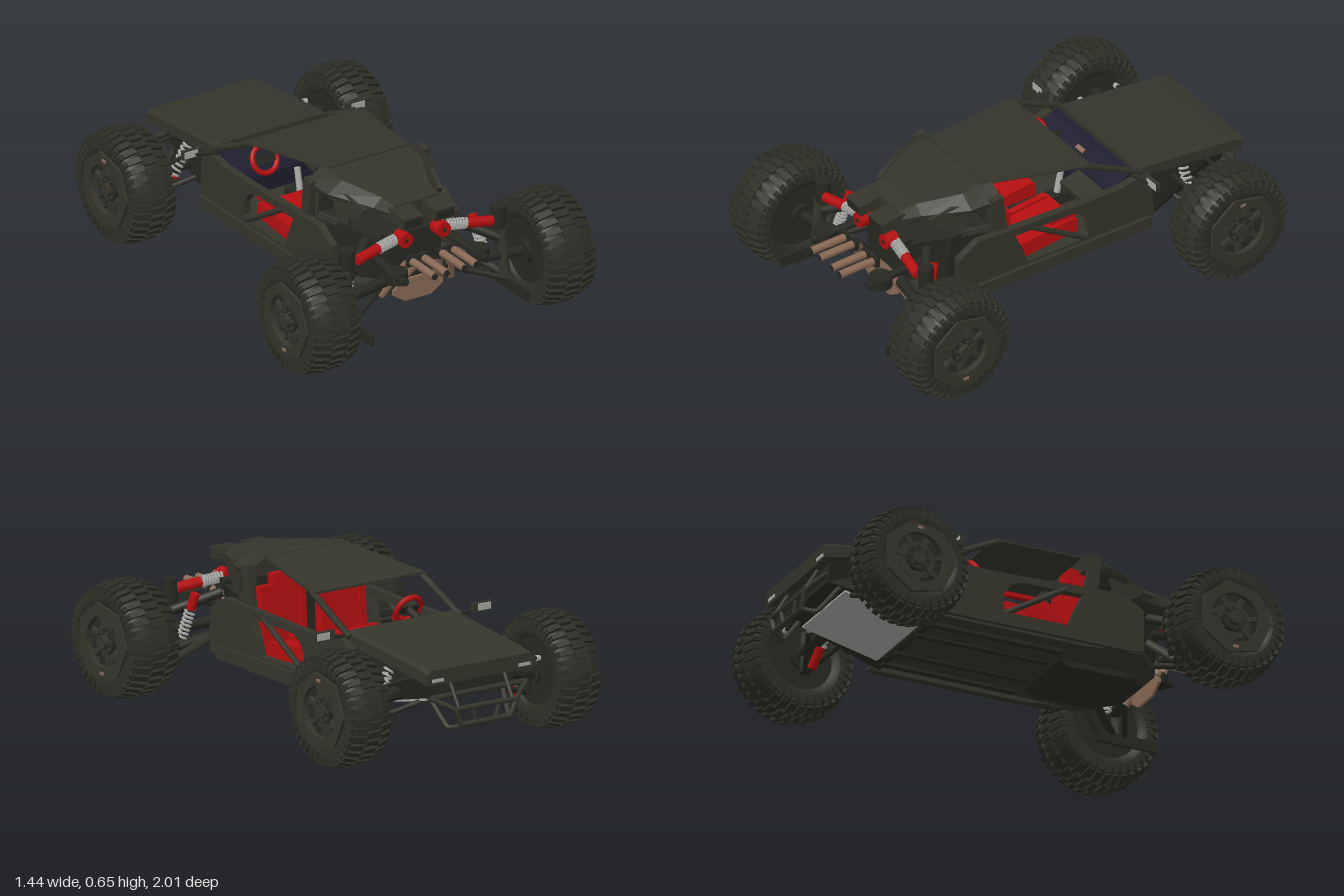
import * as THREE from 'three';
import { mergeGeometries } from 'three/addons/utils/BufferGeometryUtils.js';

const mat = (name, color, extra = {}) => {
  const m = new THREE.MeshStandardMaterial({ color, ...extra });
  m.name = name;
  return m;
};
const V = (p) => new THREE.Vector3(...p);

export function createModel() {
  const olive = mat('olive paint', 0x35352c, { side: THREE.DoubleSide });
  const rubber = mat('tyre rubber', 0x2d2e25);
  const black = mat('black metal', 0x282822);
  const red = mat('red', 0xb40f10);
  const copper = mat('copper', 0x8a6a55);
  const navy = mat('navy trim', 0x1d1d2e);
  const silver = mat('silver', 0xa9a9a6);

  const car = new THREE.Group();
  car.name = 'buggy';
  const add = (name, geo, m, parent = car) => {
    const mesh = new THREE.Mesh(geo, m);
    mesh.name = name;
    parent.add(mesh);
    return mesh;
  };
  const box = (name, m, [w, h, d], [x, y, z], rx = 0) => {
    const b = add(name, new THREE.BoxGeometry(w, h, d), m);
    b.position.set(x, y, z);
    b.rotation.x = rx;
    return b;
  };
  // straight rod between two points
  const bar = (name, m, a, b, r, sides = 10) => {
    const p = V(a), q = V(b), d = q.clone().sub(p);
    const rod = add(name, new THREE.CylinderGeometry(r, r, d.length(), sides), m);
    rod.position.copy(p).add(q).multiplyScalar(0.5);
    rod.quaternion.setFromUnitVectors(V([0, 1, 0]), d.normalize());
    return rod;
  };
  const tube = (name, m, pts, r) =>
    add(name, new THREE.TubeGeometry(new THREE.CatmullRomCurve3(pts.map(V), false, 'catmullrom', 0.2), 32, r, 8), m);
  const spring = (name, a, b, r, turns) => {
    const p = V(a), d = V(b).sub(p), q = new THREE.Quaternion().setFromUnitVectors(V([0, 1, 0]), d.clone().normalize());
    const pts = Array.from({ length: turns * 8 + 1 }, (_, i) => {
      const t = i * Math.PI / 4;
      return V([Math.cos(t) * r, d.length() * i / (turns * 8), Math.sin(t) * r]).applyQuaternion(q).add(p);
    });
    return add(name, new THREE.TubeGeometry(new THREE.CatmullRomCurve3(pts), turns * 12, 0.006, 5), silver);
  };
  // mirrored half sections [x, y] (top to bottom), joined in order of rising z
  const loft = (name, m, sections) => {
    const rings = sections.map(([z, half]) => [
      ...half.map(([x, y]) => [x, y, z]),
      ...half.slice().reverse().map(([x, y]) => [-x, y, z])]);
    const pos = [], n = rings[0].length, last = rings.length - 1;
    const tri = (...c) => c.forEach((p) => pos.push(...p));
    for (let k = 0; k < last; k++) {
      for (let i = 0; i < n; i++) {
        const j = (i + 1) % n, A = rings[k], B = rings[k + 1];
        tri(A[i], B[j], A[j]);
        tri(A[i], B[i], B[j]);
      }
    }
    for (let i = 1; i < n - 1; i++) {
      tri(rings[0][0], rings[0][i], rings[0][i + 1]);
      tri(rings[last][0], rings[last][i + 1], rings[last][i]);
    }
    const g = new THREE.BufferGeometry();
    g.setAttribute('position', new THREE.Float32BufferAttribute(pos, 3));
    g.computeVertexNormals();
    return add(name, g, m);
  };
  const shape = (pts) => new THREE.Shape(pts.map(([a, b]) => new THREE.Vector2(a, b)));
  // upright plate drawn in (z, y), centred on x
  const sidePlate = (name, m, outline, x, depth) =>
    add(name, new THREE.ExtrudeGeometry(outline, { depth, bevelEnabled: false }).rotateY(-Math.PI / 2).translate(x + depth / 2, 0, 0), m);

  // wheels, built with the outer face towards +x
  const makeWheel = (name, x, z, half, hubOut, valveAngle) => {
    const w = new THREE.Group();
    w.name = name;
    const profile = [[0.14, -0.75], [0.155, -0.95], [0.2, -1], [0.222, -0.85], [0.236, -0.4], [0.236, 0.4],
      [0.222, 0.85], [0.2, 1], [0.155, 0.95], [0.14, 0.75]].map(([r, t]) => new THREE.Vector2(r, t * half));
    add('tyre', new THREE.LatheGeometry(profile, 48).rotateZ(-Math.PI / 2), rubber, w);
    const lugs = [], rows = 36;
    for (let i = 0; i < rows; i++) {
      const a = i / rows * Math.PI * 2;
      for (const s of [-1, 0, 1]) {
        const g = new THREE.BoxGeometry(half * 0.6, 0.026, 0.024);
        if (s) g.rotateZ(-s * 0.28);
        g.translate(s * half * 0.62, s ? 0.23 : 0.239, 0);
        g.rotateX(a + (s ? 0 : Math.PI / rows));
        lugs.push(g);
        if (s) lugs.push(new THREE.BoxGeometry(0.014, 0.045, 0.022).translate(s * half * 0.96, 0.2, 0).rotateX(a));
      }
    }
    add('tread', mergeGeometries(lugs), rubber, w);
    // seven-sided rim ring with spokes and hub
    const ring = shape(Array.from({ length: 7 }, (_, i) => {
      const a = i / 7 * Math.PI * 2;
      return [Math.cos(a) * 0.17, Math.sin(a) * 0.17];
    }));
    ring.holes.push(new THREE.Path().absarc(0, 0, 0.112, 0, Math.PI * 2, true));
    const rimGeo = new THREE.ExtrudeGeometry(ring, { depth: 0.025, bevelEnabled: false }).rotateY(Math.PI / 2);
    add('rim', rimGeo.translate(half * 0.84, 0, 0), olive, w);
    const disc = (label, r, x0, x1, m, sides = 24) =>
      add(label, new THREE.CylinderGeometry(r, r, x1 - x0, sides).rotateZ(-Math.PI / 2).translate((x0 + x1) / 2, 0, 0), m, w);
    disc('rimDish', 0.145, -half * 0.8, half * 0.5, black);
    disc('hubPlate', 0.085, half * 0.4, half * 0.75, olive, 14);
    disc('hub', 0.055, -half * 0.95, half * 0.92, black);
    disc('hubCap', 0.03, half * 0.9, hubOut, olive);
    for (let i = 0; i < 7; i++) {
      const a = (i + 0.5) / 7 * Math.PI * 2;
      add('spoke', new THREE.BoxGeometry(0.025, 0.075, 0.02).translate(half * 0.72, 0.085, 0).rotateX(a), olive, w);
      add('bolt', new THREE.BoxGeometry(0.012, 0.012, 0.012).translate(half * 0.95, 0.042, 0).rotateX(a), olive, w);
    }
    add('valve', new THREE.BoxGeometry(0.012, 0.012, 0.025).translate(half * 0.84 + 0.024, 0.135, 0).rotateX(valveAngle), copper, w);
    w.position.set(x, 0.258, z);
    if (x < 0) w.rotation.y = Math.PI;
    car.add(w);
  };

  // tub, nose, hood, roof and engine cover
  loft('belly', olive, [[-0.46, [[0.3, 0.23], [0.3, 0.21], [0.17, 0.185]]],
    [0.52, [[0.31, 0.23], [0.31, 0.2], [0.18, 0.175]]], [0.64, [[0.17, 0.24], [0.17, 0.21], [0.12, 0.18]]]]);
  loft('bellyPlate', black, [[0.2, [[0.17, 0.185], [0.17, 0.175]]], [0.24, [[0.17, 0.185], [0.17, 0.15]]],
    [0.52, [[0.17, 0.185], [0.17, 0.15]]], [0.62, [[0.12, 0.2], [0.1, 0.165]]]]);
  loft('nose', black, [[-0.9, [[0.24, 0.4], [0.2, 0.29]]], [-0.42, [[0.28, 0.455], [0.28, 0.18]]]]);
  loft('hood', olive, [[-0.95, [[0.26, 0.425], [0.28, 0.41], [0.28, 0.36]]], [-0.88, [[0.26, 0.44], [0.28, 0.425], [0.28, 0.375]]],
    [-0.4, [[0.265, 0.49], [0.285, 0.475], [0.285, 0.43]]]]);
  loft('roof', olive, [[-0.17, [[0.29, 0.605], [0.29, 0.595]]], [0.32, [[0.2, 0.656], [0.2, 0.642]]]]);
  loft('engineCover', olive, [[0.28, [[0.2, 0.654], [0.29, 0.605], [0.28, 0.57]]], [0.42, [[0.2, 0.637], [0.27, 0.59], [0.26, 0.565]]],
    [0.6, [[0.12, 0.61], [0.16, 0.57], [0.15, 0.54]]], [0.68, [[0.11, 0.597], [0.135, 0.57], [0.13, 0.53]]]]);
  loft('engineBlock', black, [[0.3, [[0.24, 0.46], [0.26, 0.2]]], [0.5, [[0.23, 0.46], [0.2, 0.18]]], [0.68, [[0.14, 0.44], [0.1, 0.22]]]]);
  box('firewall', black, [0.56, 0.37, 0.015], [0, 0.41, 0.305]);
  box('underNosePlate', silver, [0.4, 0.009, 0.36], [0, 0.224, -0.645], 0.225);
  for (const x of [-0.22, -0.1, 0.1, 0.22]) box('bellyRail', black, [0.03, 0.016, 0.62], [x, 0.182, -0.13]);

  // cockpit
  loft('dashboard', navy, [[-0.42, [[0.28, 0.47], [0.28, 0.33]]], [-0.37, [[0.28, 0.46], [0.28, 0.32]]],
    [-0.28, [[0.28, 0.405], [0.28, 0.3]]], [-0.26, [[0.28, 0.37], [0.28, 0.29]]]]);
  box('dashInstrument', copper, [0.05, 0.008, 0.02], [-0.015, 0.439, -0.33], 0.55);
  box('gloveBox', olive, [0.19, 0.03, 0.1], [0.155, 0.375, -0.225], 0.2);
  box('centreConsole', black, [0.06, 0.05, 0.42], [0, 0.255, -0.06]);
  bar('gearLever', silver, [0, 0.28, -0.2], [0, 0.38, -0.22], 0.014);
  const wheelRing = add('steeringWheel', new THREE.TorusGeometry(0.06, 0.012, 8, 24), red);
  wheelRing.position.set(-0.17, 0.47, -0.21);
  wheelRing.rotation.x = -0.45;
  box('steeringHub', black, [0.1, 0.035, 0.015], [-0.17, 0.47, -0.21], -0.45);
  bar('steeringColumn', black, [-0.17, 0.47, -0.21], [-0.17, 0.42, -0.33], 0.018);

  // copper skid plate at the tail
  const skid = new THREE.ExtrudeGeometry(shape([[-0.065, 0], [0.065, 0], [0.125, 0.04], [0.125, 0.06], [0.065, 0.1], [-0.065, 0.1], [-0.125, 0.06], [-0.125, 0.04]]),
    { depth: 0.012, bevelEnabled: false });
  add('skidPlate', skid, copper).position.set(0, 0.15, 0.685);
  box('rearCrossmember', black, [0.3, 0.05, 0.05], [0, 0.44, 0.66]);

  // bumper crossbars
  bar('bumperTopBar', olive, [-0.25, 0.3, -0.93], [0.25, 0.3, -0.93], 0.012);
  bar('bumperFrontBar', olive, [-0.16, 0.25, -0.985], [0.16, 0.25, -0.985], 0.012);
  bar('bumperLowBar', olive, [-0.13, 0.18, -0.985], [0.13, 0.18, -0.985], 0.012);

  for (const s of [-1, 1]) {
    makeWheel('rearWheel', s * 0.59, 0.755, 0.115, 0.13, Math.PI);
    makeWheel('frontWheel', s * 0.545, -0.695, 0.102, 0.108, 0);

    // side panel with door opening
    const side = shape([[0.52, 0.21], [0.25, 0.18], [-0.44, 0.18], [-0.47, 0.25], [-0.46, 0.42], [-0.4, 0.46], [-0.3, 0.44], [-0.1, 0.44], [0.42, 0.46], [0.52, 0.4]]);
    side.holes.push(shape([[0.17, 0.26], [0.2, 0.34], [0.235, 0.415], [-0.06, 0.41], [-0.1, 0.39], [-0.14, 0.34], [-0.14, 0.28], [-0.12, 0.26]]));
    sidePlate('sidePanel', olive, side, s * 0.305, 0.035);
    box('sill', olive, [0.05, 0.055, 0.9], [s * 0.315, 0.22, 0]);
    bar('doorBrace', olive, [s * 0.315, 0.43, 0.16], [s * 0.315, 0.25, -0.14], 0.013, 6);

    // cabin frame
    bar('windscreenPillar', olive, [s * 0.28, 0.6, -0.14], [s * 0.29, 0.465, -0.42], 0.015, 6);
    bar('roofRail', olive, [s * 0.285, 0.598, -0.15], [s * 0.2, 0.645, 0.31], 0.007, 6);
    box('rearPillar', olive, [0.03, 0.2, 0.055], [s * 0.285, 0.52, 0.295], 0.12);
    const quarter = shape([[0.3, 0.6], [0.5, 0.6], [0.6, 0.56], [0.57, 0.52], [0.51, 0.49], [0.5, 0.44], [0.3, 0.44]]);
    quarter.holes.push(shape([[0.345, 0.565], [0.42, 0.565], [0.45, 0.465], [0.335, 0.465]]));
    sidePlate('quarterPanel', olive, quarter, 0, 0.02).position.set(s * 0.335, 0, 0);
    car.children.at(-1).rotation.y = -s * 0.25;

    // twin prongs at the end of the engine cover
    box('coverProng', olive, [0.1, 0.05, 0.12], [s * 0.08, 0.56, 0.72], 0.12);
    box('prongVent', black, [0.085, 0.036, 0.006], [s * 0.08, 0.553, 0.78], 0.12);

    // mirrors and lamps
    bar('mirrorArm', black, [s * 0.29, 0.46, -0.38], [s * 0.4, 0.48, -0.39], 0.007);
    box('mirrorShell', olive, [0.1, 0.04, 0.016], [s * 0.41, 0.485, -0.4]);
    box('mirrorGlass', silver, [0.066, 0.03, 0.024], [s * 0.42, 0.485, -0.4]);
    box('headlamp', silver, [0.06, 0.014, 0.008], [s * 0.225, 0.38, -0.95]);

    // seat
    box('seatCushion', red, [0.23, 0.06, 0.32], [s * 0.155, 0.285, 0.04], 0.1);
    box('seatBack', red, [0.22, 0.27, 0.035], [s * 0.155, 0.4, 0.25], 0.06);
    box('headrest', red, [0.1, 0.07, 0.045], [s * 0.155, 0.55, 0.25], 0.1);
    box('armrest', red, [0.025, 0.018, 0.13], [s * 0.27, 0.37, -0.04]);
    for (const e of [-1, 1]) {
      box('cushionBolster', red, [0.03, 0.07, 0.28], [s * 0.155 + e * 0.1, 0.292, 0.035], 0.1);
      box('backBolster', red, [0.03, 0.22, 0.05], [s * 0.155 + e * 0.1, 0.4, 0.245], 0.06);
    }

    // exhaust pipes
    const pipes = [[[0.105, 0.39, 0.98], [0.105, 0.39, 0.8], [0.13, 0.32, 0.74], [0.175, 0.2, 0.68]],
      [[0.045, 0.39, 0.98], [0.045, 0.39, 0.8], [0.075, 0.31, 0.74], [0.09, 0.23, 0.69]]];
    for (const path of pipes) {
      const pts = path.map(([x, y, z]) => [s * x, y, z]);
      tube('exhaustPipe', copper, pts, 0.017);
      bar('exhaustMouth', black, [pts[0][0], 0.39, 0.975], [pts[0][0], 0.39, 0.983], 0.014);
      box('exhaustClamp', black, [0.045, 0.045, 0.02], [pts[0][0], 0.39, 0.8]);
    }

    // rear suspension
    bar('rearShockBody', red, [s * 0.34, 0.435, 0.745], [s * 0.22, 0.45, 0.725], 0.023);
    bar('rearShockRod', silver, [s * 0.23, 0.448, 0.727], [s * 0.1, 0.46, 0.71], 0.012);
    spring('rearSpring', [s * 0.22, 0.45, 0.725], [s * 0.125, 0.46, 0.71], 0.021, 7);
    bar('rearShockMount', red, [s * 0.095, 0.46, 0.69], [s * 0.095, 0.46, 0.75], 0.034, 14);
    bar('shockMountBolt', black, [s * 0.095, 0.46, 0.745], [s * 0.095, 0.46, 0.754], 0.009, 8);
    bar('rearDamper', red, [s * 0.31, 0.43, 0.64], [s * 0.32, 0.36, 0.66], 0.02);
    spring('damperSpring', [s * 0.32, 0.36, 0.66], [s * 0.35, 0.24, 0.68], 0.02, 7);
    bar('rearUpright', black, [s * 0.38, 0.39, 0.73], [s * 0.38, 0.49, 0.73], 0.034, 14);
    bar('rearUprightStem', olive, [s * 0.4, 0.17, 0.75], [s * 0.39, 0.4, 0.74], 0.024);
    bar('rearAxle', black, [s * 0.12, 0.28, 0.7], [s * 0.5, 0.26, 0.755], 0.024);
    bar('rearLowerArm', black, [s * 0.26, 0.27, 0.56], [s * 0.42, 0.16, 0.76], 0.018);
    bar('rearLinkArm', black, [s * 0.14, 0.25, 0.66], [s * 0.42, 0.16, 0.8], 0.013);
    bar('rearUpperArm', black, [s * 0.2, 0.43, 0.6], [s * 0.39, 0.34, 0.74], 0.022);
    box('trailingPlate', black, [0.014, 0.05, 0.3], [s * 0.39, 0.15, 0.79]);
    bar('trailingArm', olive, [s * 0.31, 0.26, 0.54], [s * 0.39, 0.16, 0.66], 0.02, 6);
    bar('rearLamp', black, [s * 0.205, 0.34, 0.84], [s * 0.205, 0.39, 0.84], 0.05, 16);
    bar('rearLampStem', black, [s * 0.19, 0.37, 0.62], [s * 0.205, 0.36, 0.91], 0.018);

    // front suspension
    bar('frontAxle', black, [s * 0.2, 0.28, -0.695], [s * 0.46, 0.26, -0.695], 0.03);
    for (const z of [-0.79, -0.61]) {
      bar('frontUpperArm', black, [s * 0.25, 0.36, z], [s * 0.43, 0.34, z], 0.009);
      bar('frontArmJoint', silver, [s * 0.405, 0.343, z], [s * 0.425, 0.341, z], 0.012);
      bar('frontLowerArm', black, [s * 0.2, 0.25, z], [s * 0.43, 0.17, -0.695], 0.012);
    }
    bar('frontUpright', black, [s * 0.425, 0.17, -0.695], [s * 0.425, 0.35, -0.695], 0.024);
    bar('frontShock', red, [s * 0.31, 0.245, -0.68], [s * 0.37, 0.17, -0.69], 0.02);
    spring('frontSpring', [s * 0.26, 0.38, -0.66], [s * 0.33, 0.24, -0.67], 0.02, 7);

    // bumper hoop side
    tube('bumperHoop', olive, [[s * 0.25, 0.3, -0.93], [s * 0.16, 0.25, -0.985], [s * 0.13, 0.18, -0.985], [s * 0.16, 0.165, -0.93], [s * 0.19, 0.28, -0.84]], 0.011);
    bar('bumperPost', olive, [s * 0.07, 0.25, -0.985], [s * 0.05, 0.18, -0.985], 0.009);
    bar('bumperStay', olive, [s * 0.14, 0.36, -0.92], [s * 0.14, 0.25, -0.985], 0.009);
  }
  return car;
}
